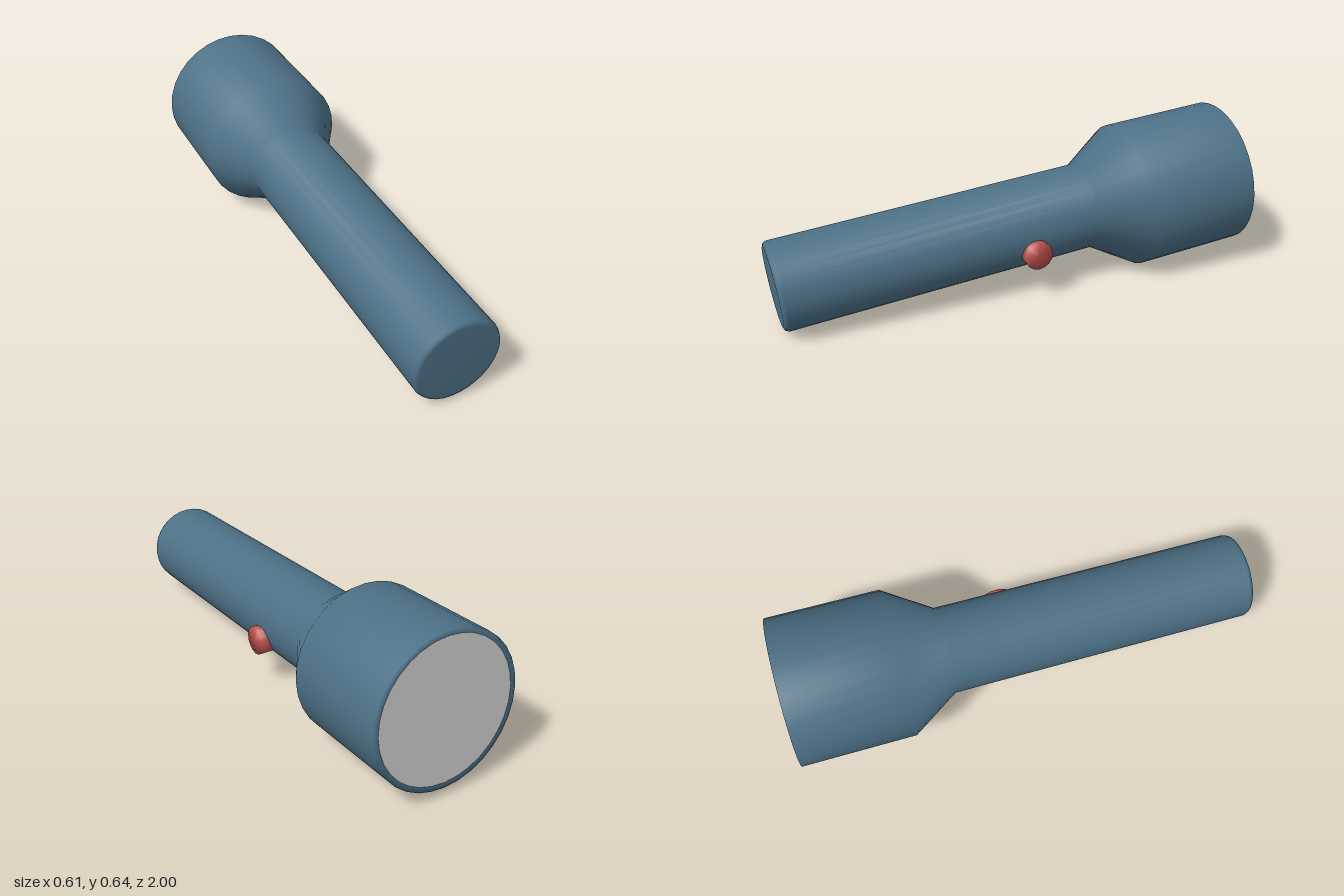
import * as THREE from 'three';
import { mergeVertices } from 'three/addons/utils/BufferGeometryUtils.js';

const TILT = 0.078; // handle rests low, head points slightly up
const LENGTH = 1.969;
const SIDES = 32;

function addPart(parent, name, geometry, color) {
  const mesh = new THREE.Mesh(geometry, new THREE.MeshStandardMaterial({ color }));
  mesh.name = name;
  parent.add(mesh);
  return mesh;
}

// Shares vertices across edges so the shading runs smoothly over them
function smooth(geometry) {
  geometry.deleteAttribute('normal');
  geometry.deleteAttribute('uv');
  const merged = mergeVertices(geometry);
  merged.computeVertexNormals();
  return merged;
}

export function createModel() {
  const model = new THREE.Group();
  model.name = 'flashlight';

  // Turned parts share one axis running from the tail to the lens
  const barrel = new THREE.Group();
  barrel.name = 'barrel';
  barrel.position.set(0, 0.189, 0.987);
  barrel.rotation.x = TILT - Math.PI / 2;
  model.add(barrel);

  // Casing: bevelled tail, handle, flared neck, head and rim
  const profile = [
    [0, 0], [0.16, 0], [0.174, 0.006], [0.18, 0.02],
    [0.18, 1.306], [0.305, 1.502], [0.305, LENGTH], [0.283, LENGTH],
  ].map(([r, y]) => new THREE.Vector2(r, y));
  addPart(barrel, 'casing', new THREE.LatheGeometry(profile, SIDES), 0x4d7187);

  // Flat lens set flush in the rim
  const lens = new THREE.CircleGeometry(0.283, SIDES).rotateX(-Math.PI / 2);
  addPart(barrel, 'lens', lens, 0xcccccc).position.y = LENGTH;

  // Round push button on the left side of the handle
  const button = new THREE.CylinderGeometry(0.059, 0.059, 0.065, 16).rotateZ(-Math.PI / 2);
  addPart(model, 'switchButton', smooth(button), 0xb9504b).position.set(0.1725, 0.208, -0.037);

  return model;
}
